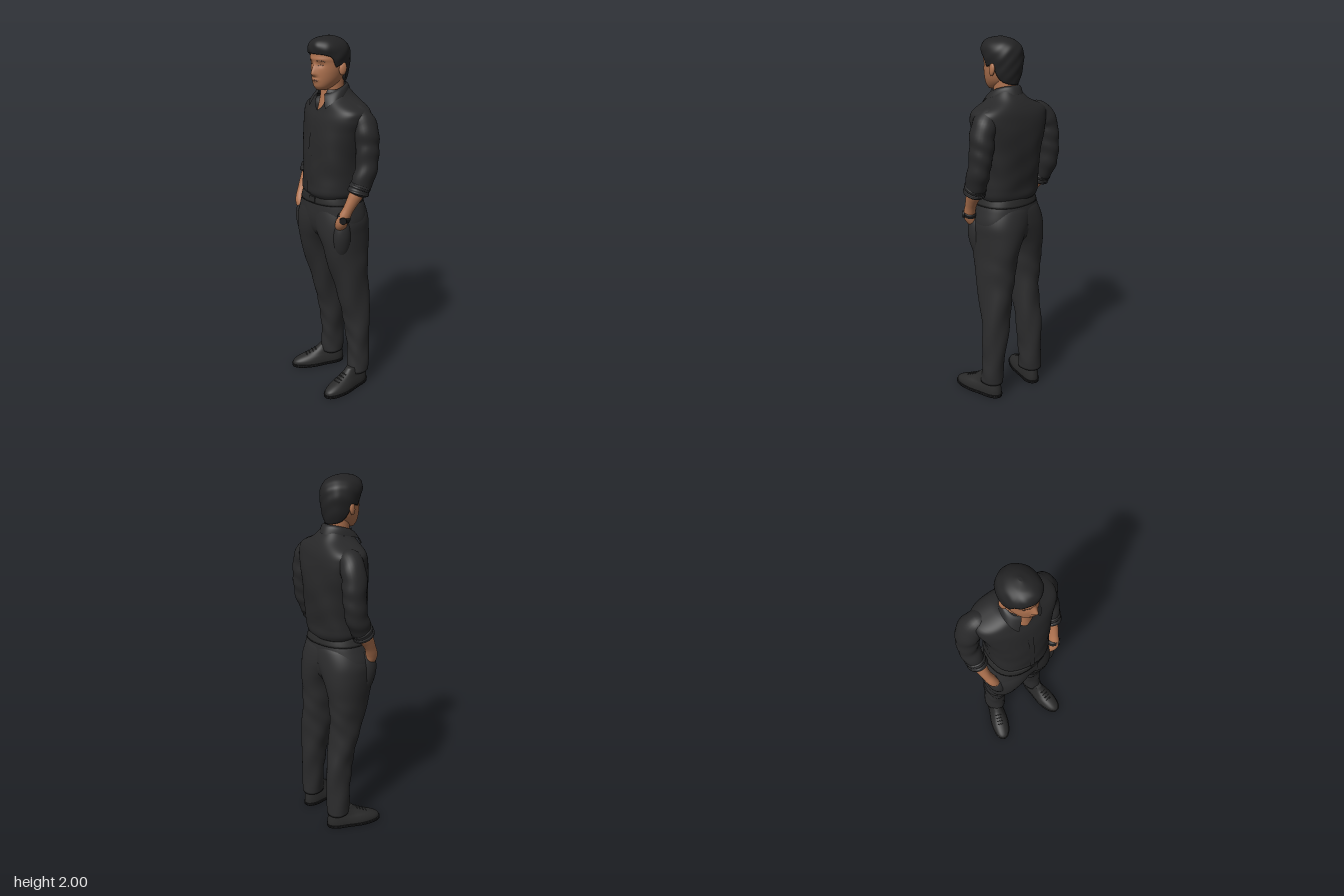
import * as THREE from 'three';

const mat = (name, color, side = THREE.FrontSide) => {
  const m = new THREE.MeshStandardMaterial({ color, side });
  m.name = name;
  return m;
};

// Smooth interpolation of table rows [key, ...values] at a key.
function prof(rows, k) {
  const n = rows.length - 1;
  k = Math.min(Math.max(k, rows[0][0]), rows[n][0]);
  let i = 0;
  while (i < n - 1 && k > rows[i + 1][0]) i++;
  const h = rows[i + 1][0] - rows[i][0], t = (k - rows[i][0]) / h;
  const slope = (j, c) => {
    const a = rows[Math.max(j - 1, 0)], b = rows[Math.min(j + 1, n)];
    return (b[c] - a[c]) / (b[0] - a[0]);
  };
  return rows[0].slice(1).map((_, q) => {
    const c = q + 1, t2 = t * t, t3 = t2 * t;
    return (2 * t3 - 3 * t2 + 1) * rows[i][c] + (t3 - 2 * t2 + t) * h * slope(i, c)
      + (3 * t2 - 2 * t3) * rows[i + 1][c] + (t3 - t2) * h * slope(i + 1, c);
  });
}

// Surface from fn(u, v); u may wrap round, outward is u x v.
function grid(nu, nv, fn, wrap = true) {
  const pos = [], idx = [], w = wrap ? nu : nu + 1;
  for (let i = 0; i <= nv; i++) for (let j = 0; j < w; j++) pos.push(...fn(j / nu, i / nv, i));
  for (let i = 0; i < nv; i++) for (let j = 0; j < nu; j++) {
    const a = i * w + j, b = i * w + (j + 1) % w;
    idx.push(a, b, b + w, a, b + w, a + w);
  }
  const g = new THREE.BufferGeometry();
  g.setAttribute('position', new THREE.Float32BufferAttribute(pos, 3));
  g.setIndex(idx);
  g.computeVertexNormals();
  return g;
}

// Upright body from rows [y, x0, x1, zBack, zFront]; n and nBack set how boxy it is.
function loft(rows, o = {}) {
  const { n = 2, nBack = n, seg = 48, steps = 40, warp, ease = v => v, openTop = false } = o;
  const lo = o.lo || (() => rows[0][0]), hi = o.hi || (() => rows[rows.length - 1][0]);
  const nv = steps + (openTop ? 1 : 2);
  return grid(seg, nv, (u, _, i) => {
    const a = u * Math.PI * 2, f = -Math.sin(a);
    const pw = c => Math.sign(c) * Math.abs(c) ** (2 / (f < 0 ? nBack : n));
    const v = Math.min(Math.max(i - 1, 0), steps) / steps;
    const y = lo(f) + (hi(f) - lo(f)) * ease(v);
    const [x0, x1, zb, zf] = prof(rows, y);
    const s = i === 0 || (!openTop && i === nv) ? 0.01 : 1;
    const p = [(x0 + x1) / 2 + s * (x1 - x0) / 2 * pw(Math.cos(a)), y,
      (zb + zf) / 2 + s * (zf - zb) / 2 * pw(f)];
    return warp && s === 1 ? warp(p, a) : p;
  });
}

// Limb along points, radii spread evenly over its length.
function limb(points, radii, fold = 0, flat = 1) {
  const curve = new THREE.CatmullRomCurve3(points.map(p => new THREE.Vector3(...p)));
  const table = radii.map((r, i) => [i / (radii.length - 1), r]);
  return grid(28, 48, (u, v) => {
    const P = curve.getPointAt(v), T = curve.getTangentAt(v), a = u * Math.PI * 2;
    const A = new THREE.Vector3(0, 0, 1).addScaledVector(T, -T.z).normalize();
    const B = new THREE.Vector3().crossVectors(T, A);
    const base = Math.max(prof(table, v)[0], 0.001);
    const r = base + (base > 0.03 ? fold * Math.sin(v * 34 + 2 * Math.sin(a + v * 5)) : 0);
    P.addScaledVector(A, r * Math.cos(a)).addScaledVector(B, r * flat * Math.sin(a));
    return [P.x, P.y, P.z];
  });
}

const FACE = [[1.73, -0.03, 0.03, 0.02, 0.088], [1.75, -0.05, 0.05, -0.035, 0.102],
  [1.78, -0.068, 0.068, -0.07, 0.107], [1.82, -0.08, 0.08, -0.088, 0.109],
  [1.86, -0.086, 0.086, -0.095, 0.107], [1.9, -0.088, 0.088, -0.1, 0.109],
  [1.94, -0.08, 0.08, -0.09, 0.1], [1.975, -0.045, 0.045, -0.05, 0.06]];
const bell = (d, w) => Math.exp(-((d / w) ** 2));
const ramp = THREE.MathUtils.smoothstep;
// Nose, eye sockets, brow and lips.
function bump(x, y) {
  const nose = 0.024 * (1 - ramp(y, 1.805, 1.885)) * ramp(y, 1.793, 1.818);
  return nose * bell(x, 0.011 + 0.1 * Math.max(0, 1.865 - y))
    - 0.007 * bell(Math.abs(x) - 0.033, 0.018) * bell(y - 1.862, 0.014)
    + 0.007 * bell(x, 0.022) * bell(y - 1.782, 0.01) + 0.003 * bell(y - 1.888, 0.01);
}
function faceZ(x, y) {
  const [, x1, zb, zf] = prof(FACE, y);
  return (zb + zf) / 2 + (zf - zb) / 2 * Math.sqrt(1 - (x / x1) ** 2) + bump(x, y);
}

export function createModel() {
  const root = new THREE.Group();
  root.name = 'standingMan';
  const D = THREE.DoubleSide;
  const skin = mat('skin', 0xae724f), lipMat = mat('lips', 0x9a6047), hair = mat('hair', 0x232324);
  const shirt = mat('shirt', 0x282829, D), trousers = mat('trousers', 0x2c2c2d, D);
  const leather = mat('leather', 0x292929), dark = mat('black', 0x1a1a1b), brow = mat('brow', 0x6a4735);
  const add = (name, geo, m, parent = root) => {
    const o = new THREE.Mesh(geo, m);
    o.name = name;
    parent.add(o);
    return o;
  };

  // Head
  add('head', loft(FACE, { seg: 96, steps: 90, warp: p => {
    if (p[2] > 0.03) p[2] += bump(p[0], p[1]);
    return p;
  } }), skin);
  add('neck', loft([[1.58, -0.08, 0.08, -0.1, 0.074], [1.64, -0.066, 0.066, -0.1, 0.063],
    [1.69, -0.058, 0.058, -0.092, 0.052], [1.73, -0.057, 0.057, -0.085, 0.047],
    [1.8, -0.058, 0.058, -0.08, 0.047]]), skin);
  const line = (name, pts, r, m) => add(name, new THREE.TubeGeometry(new THREE.CatmullRomCurve3(
    pts.map(([x, y]) => new THREE.Vector3(x, y, faceZ(x, y)))), 14, r, 6), m);
  for (const s of [-1, 1]) {
    const side = s > 0 ? 'left' : 'right';
    const ear = add(side + 'Ear', new THREE.SphereGeometry(1, 20, 14), skin);
    ear.scale.set(0.012, 0.033, 0.021);
    ear.position.set(s * 0.092, 1.838, -0.005);
    ear.rotation.set(-0.15, s * -0.3, 0);
    line(side + 'Eyebrow', [[s * 0.016, 1.88], [s * 0.035, 1.884], [s * 0.055, 1.878]], 0.002, brow);
    line(side + 'Eye', [[s * 0.02, 1.858], [s * 0.033, 1.86], [s * 0.047, 1.858]], 0.002, brow);
  }
  line('mouth', [[-0.023, 1.78], [0, 1.783], [0.023, 1.78]], 0.003, lipMat);
  const HAIRLINE = [[-1, 1.757], [-0.4, 1.785], [-0.05, 1.85], [0.15, 1.858], [0.36, 1.85],
    [0.52, 1.895], [0.75, 1.91], [1, 1.916]];
  add('hair', loft([[1.755, -0.065, 0.065, -0.09, 0.08], [1.8, -0.084, 0.084, -0.103, 0.1],
    [1.85, -0.095, 0.092, -0.111, 0.106], [1.9, -0.102, 0.099, -0.112, 0.113],
    [1.94, -0.098, 0.095, -0.104, 0.122], [1.97, -0.079, 0.076, -0.08, 0.112],
    [1.99, -0.046, 0.044, -0.045, 0.08], [2, -0.008, 0.008, 0, 0.025]], {
    seg: 72, n: 2.1, lo: f => prof(HAIRLINE, f)[0], ease: v => Math.sin(v * Math.PI / 2),
    warp: ([x, y, z]) => {
      const k = 1 + 0.02 * Math.sin(75 * x + 40 * y) * Math.sin(60 * z + 50 * y);
      return [x * k, y, z * k];
    } }), hair);

  // Shirt body, turned towards the right hip, with an open V neck
  const upper = new THREE.Group();
  upper.name = 'upperBody';
  upper.rotation.y = -0.17;
  root.add(upper);
  const TORSO = [[1.155, -0.16, 0.156, -0.158, 0.12], [1.18, -0.172, 0.168, -0.166, 0.133],
    [1.22, -0.172, 0.17, -0.168, 0.132], [1.3, -0.172, 0.17, -0.177, 0.13],
    [1.42, -0.185, 0.184, -0.184, 0.122], [1.52, -0.206, 0.204, -0.184, 0.108],
    [1.59, -0.224, 0.222, -0.175, 0.092], [1.635, -0.214, 0.212, -0.162, 0.073],
    [1.685, -0.108, 0.108, -0.136, 0.06], [1.73, -0.066, 0.066, -0.1, 0.053]];
  add('shirtBody', loft(TORSO, { n: 2.3, nBack: 2.75, seg: 96, steps: 70, openTop: true,
    hi: f => 1.73 - 0.11 * Math.max(0, 1 - Math.acos(Math.min(1, Math.max(-1, f))) / 0.55),
    warp: ([x, y, z], a) => {
      const w = 1 - ramp(y, 1.55, 1.66);
      const k = 1 + w * (0.014 * Math.sin(45 * y + 3 * Math.sin(2 * a)) * (1.7 - y)
        + 0.01 * Math.sin(22 * y + 5 * a));
      return [x * k, y, z * k];
    } }), shirt, upper);
  const strip = (rows, y0, y1, x, w, out) => grid(2, 30, (u, v) => {
    const y = y0 + (y1 - y0) * v;
    return [x + (u - 0.5) * w, y, prof(rows, y)[3] + out];
  }, false);
  add('placket', strip(TORSO, 1.18, 1.615, 0, 0.03, 0.003), shirt, upper);
  // Folded collar: low in front, falling to two points
  const collar = add('collar', grid(64, 10, (u, v) => {
    const s = (u - 0.5) * 5.5, f = (1 - Math.cos(s)) / 2, top = 1.757 - 0.05 * f ** 1.4;
    const leaf = v * (0.045 + 0.032 * f ** 4), R = 0.066 + 0.03 * Math.sqrt(v);
    return [R * Math.sin(s) + Math.sign(s) * 0.035 * v * f ** 6, top - leaf,
      -0.022 - (R + 0.004) * Math.cos(s) + 0.012 * f + 0.12 * v * f * (1 - f)];
  }, false), shirt);
  collar.rotation.y = -0.06;

  // Arms: rolled sleeve, forearm into the pocket, hand shape under the cloth
  const arms = [
    { side: 'right', sleeve: [[-0.09, 1.628, -0.085], [-0.17, 1.603, -0.102], [-0.217, 1.54, -0.118],
      [-0.23, 1.45, -0.126], [-0.238, 1.33, -0.12], [-0.236, 1.2, -0.058]],
    fore: [[-0.236, 1.23, -0.07], [-0.228, 1.12, -0.002], [-0.207, 1.05, 0.026], [-0.16, 0.98, 0.0]],
    pocket: [[-0.19, 1.09, 0.005], [-0.188, 1.0, 0.022], [-0.15, 0.8, 0.012]] },
    { side: 'left', sleeve: [[0.09, 1.628, -0.042], [0.17, 1.603, -0.045], [0.217, 1.54, -0.05],
      [0.229, 1.45, -0.052], [0.238, 1.33, -0.038], [0.224, 1.2, 0.01]],
    fore: [[0.227, 1.23, -0.003], [0.202, 1.12, 0.055], [0.178, 1.045, 0.08], [0.135, 0.98, 0.045]],
    pocket: [[0.155, 1.06, 0.035], [0.156, 0.99, 0.055], [0.13, 0.78, 0.03]] }];
  for (const { side, sleeve, fore, pocket } of arms) {
    add(side + 'Sleeve', limb(sleeve,
      [0, 0.054, 0.066, 0.068, 0.067, 0.065, 0.062, 0.062, 0.059, 0.05], 0.0022, 0.9), shirt);
    const [a, b] = sleeve.slice(-2);
    const at = t => a.map((c, i) => c + (b[i] - c) * t);
    add(side + 'Cuff', limb([at(0.58), at(0.82), at(1.06)],
      [0.05, 0.06, 0.062, 0.059, 0.062, 0.059, 0.03], 0.001, 0.9), shirt);
    add(side + 'Forearm', limb(fore, [0.042, 0.042, 0.036, 0.032, 0.034, 0.036, 0.03, 0.01], 0, 0.85), skin);
    add(side + 'Pocket', limb(pocket, [0.02, 0.042, 0.052, 0.053, 0.048, 0.035, 0], 0, 0.88), trousers);
  }
  // Wristwatch
  add('watchStrap', limb([[0.191, 1.088, 0.067], [0.186, 1.07, 0.073], [0.181, 1.052, 0.078]],
    [0.026, 0.037, 0.037, 0.037, 0.026], 0, 0.95), dark);
  const dial = add('watchDial', new THREE.CylinderGeometry(0.019, 0.02, 0.012, 24), dark);
  dial.position.set(0.208, 1.066, 0.1);
  dial.rotation.set(Math.PI / 2, 0.7, 0, 'YXZ');

  // Trousers: each leg widens across the middle so the two join as the seat
  const HIPS = [[0.9, -0.12, 0.11, -0.13, 0.06], [0.95, -0.19, 0.178, -0.165, 0.105],
    [1.02, -0.212, 0.197, -0.176, 0.125], [1.1, -0.19, 0.183, -0.172, 0.127],
    [1.165, -0.163, 0.16, -0.158, 0.122]];
  add('trouserWaist', loft(HIPS, { n: 2.3, seg: 64 }), trousers);
  add('fly', strip(HIPS, 0.97, 1.125, 0.012, 0.026, 0.002), trousers);
  const legs = {
    right: [[0.085, -0.166, -0.048, -0.189, -0.05], [0.2, -0.166, -0.044, -0.189, -0.052],
      [0.4, -0.167, -0.035, -0.185, -0.03], [0.6, -0.185, -0.028, -0.158, 0.02],
      [0.8, -0.203, -0.016, -0.168, 0.082], [0.88, -0.211, 0.004, -0.178, 0.103],
      [0.95, -0.216, 0.045, -0.184, 0.119], [1.02, -0.214, 0.095, -0.184, 0.126],
      [1.1, -0.18, 0.12, -0.172, 0.122], [1.14, -0.15, 0.11, -0.15, 0.11]],
    left: [[0.085, 0.115, 0.226, -0.129, 0.002], [0.2, 0.102, 0.226, -0.131, -0.01],
      [0.4, 0.075, 0.222, -0.146, 0.0], [0.6, 0.04, 0.212, -0.151, 0.042],
      [0.8, 0.008, 0.2, -0.164, 0.096], [0.88, -0.008, 0.198, -0.176, 0.113],
      [0.95, -0.05, 0.198, -0.183, 0.125], [1.02, -0.1, 0.198, -0.184, 0.128],
      [1.1, -0.12, 0.172, -0.172, 0.122], [1.14, -0.11, 0.15, -0.15, 0.11]] };
  for (const side in legs) {
    add(side + 'TrouserLeg', loft(legs[side], { n: 2.2, seg: 56, steps: 80, warp: ([x, y, z], a) => {
      const w = 0.002 * (1 - ramp(y, 0.7, 0.9));
      const d = w * (Math.sin(31 * y + 4 * Math.sin(a + 6 * y)) + Math.sin(19 * y - 3 * a));
      return [x + d * Math.cos(a), y, z - d * Math.sin(a)];
    } }), trousers);
  }
  add('belt', loft([[1.122, -0.182, 0.177, -0.171, 0.13], [1.145, -0.174, 0.17, -0.167, 0.129],
    [1.168, -0.165, 0.162, -0.161, 0.125]], { n: 2.3, steps: 4 }), leather);
  add('buckle', new THREE.BoxGeometry(0.042, 0.032, 0.006), leather).position.set(0, 1.145, 0.13);

  // Shoes
  for (const [side, x, z, turn] of [['right', -0.15, -0.04, -0.46], ['left', 0.172, 0.033, 0.02]]) {
    const shoe = new THREE.Group();
    shoe.name = side + 'Shoe';
    shoe.position.set(x, 0, z);
    shoe.rotation.y = turn;
    root.add(shoe);
    const waist = ([px, y, pz]) => [px * (1 - 0.14 * bell(pz + 0.05, 0.06)), y, pz];
    add('sole', loft([[0, -0.059, 0.059, -0.16, 0.162], [0.016, -0.06, 0.06, -0.162, 0.164]],
      { n: 2.4, steps: 3, warp: waist }), dark, shoe);
    add('shoeUpper', loft([[0.014, -0.057, 0.057, -0.159, 0.16], [0.035, -0.056, 0.056, -0.159, 0.152],
      [0.055, -0.051, 0.051, -0.157, 0.118], [0.075, -0.044, 0.044, -0.154, 0.065],
      [0.1, -0.039, 0.039, -0.15, 0.015], [0.125, -0.036, 0.036, -0.145, -0.015]],
    { n: 2.25, steps: 24, warp: waist }), leather, shoe);
    for (let i = 0; i < 4; i++) {
      const lace = add('lace', new THREE.CapsuleGeometry(0.003, 0.034, 3, 8), leather, shoe);
      lace.rotation.z = Math.PI / 2;
      lace.position.set(0, 0.071 + i * 0.009, 0.074 - i * 0.019);
    }
  }
  return root;
}
